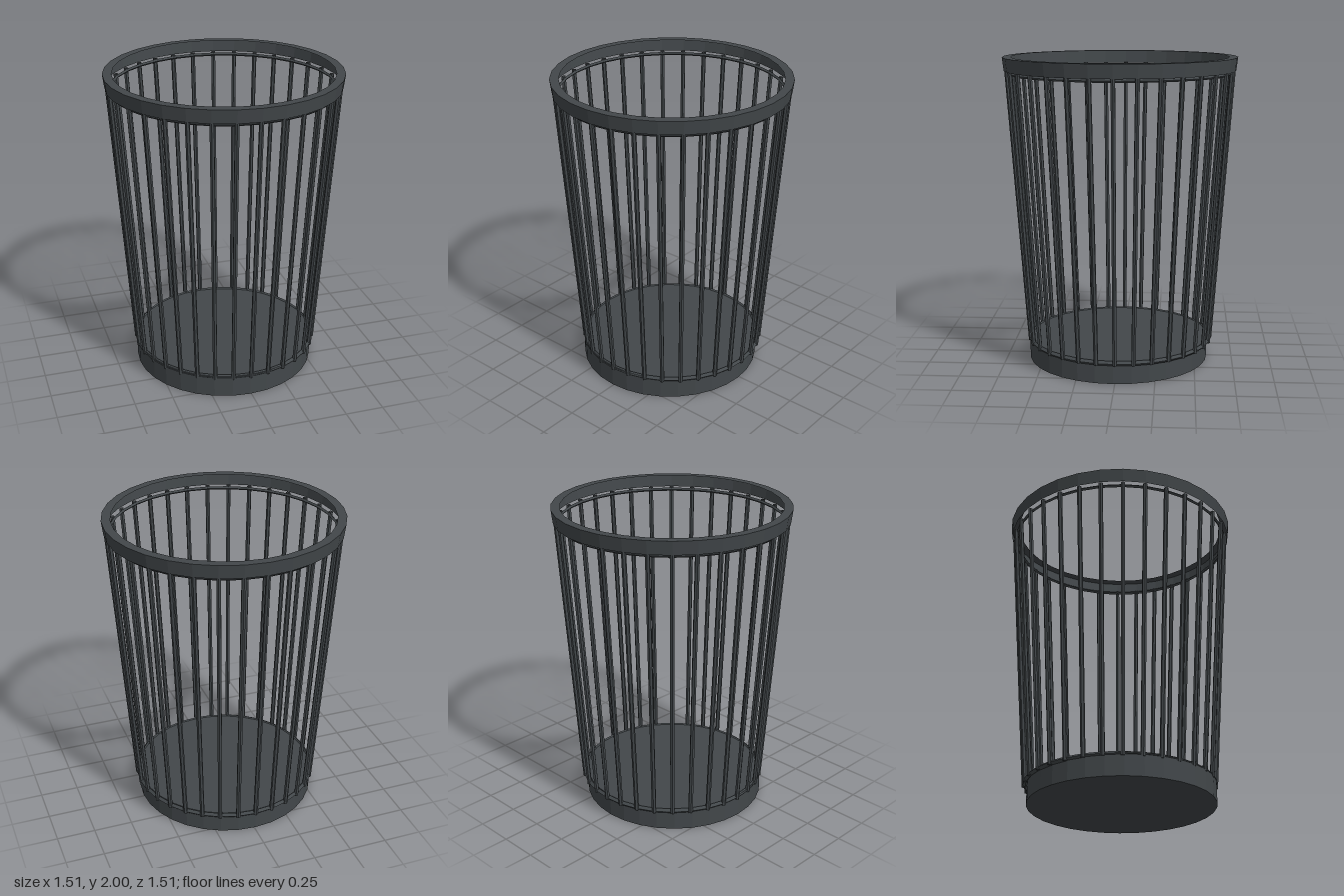
import * as THREE from 'three';

const SIDES = 32;

export function createModel() {
  const group = new THREE.Group();
  group.name = 'wireBasket';
  const darkGrey = new THREE.MeshStandardMaterial({ color: 0x42474a, side: THREE.DoubleSide });
  darkGrey.name = 'darkGrey';

  // Adds a faceted part
  function add(name, geometry, x = 0, y = 0, z = 0, parent = group) {
    const flat = geometry.index ? geometry.toNonIndexed() : geometry;
    flat.computeVertexNormals();
    const mesh = new THREE.Mesh(flat, darkGrey);
    mesh.name = name;
    mesh.position.set(x, y, z);
    parent.add(mesh);
    return mesh;
  }

  // Thin hoop with a diamond section
  function hoop(name, radius, tube, y) {
    const geometry = new THREE.TorusGeometry(radius, tube, 4, SIDES);
    geometry.rotateX(Math.PI / 2);
    add(name, geometry, 0, y, 0);
  }

  // Rim: tapered outer band folded over at the top, open underneath
  const rimProfile = [[0.745, 1.913], [0.756, 2], [0.699, 2]];
  add('rim', new THREE.LatheGeometry(rimProfile.map(p => new THREE.Vector2(...p)), SIDES));
  hoop('upperHoop', 0.715, 0.011, 1.9);

  // Base, set very slightly off centre below the lower hoop
  add('base', new THREE.CylinderGeometry(0.594, 0.594, 0.145, SIDES), -0.008, 0.0725, 0.012);
  hoop('lowerHoop', 0.594, 0.016, 0.137);

  // Upright rods leaning outwards
  const rods = new THREE.Group();
  rods.name = 'rods';
  group.add(rods);
  const bottom = new THREE.Vector3(0, 0.125, 0.6);
  const top = new THREE.Vector3(0, 1.915, 0.727);
  const span = top.clone().sub(bottom);
  const rodGeometry = new THREE.CylinderGeometry(0.015, 0.015, span.length(), 6);
  rodGeometry.rotateX(Math.atan2(span.z, span.y));
  rodGeometry.translate(0, (bottom.y + top.y) / 2, (bottom.z + top.z) / 2);
  for (let i = 0; i < SIDES; i++) {
    const rod = add('rod', rodGeometry, 0, 0, 0, rods);
    rod.rotation.y = (i / SIDES) * Math.PI * 2;
  }
  return group;
}
